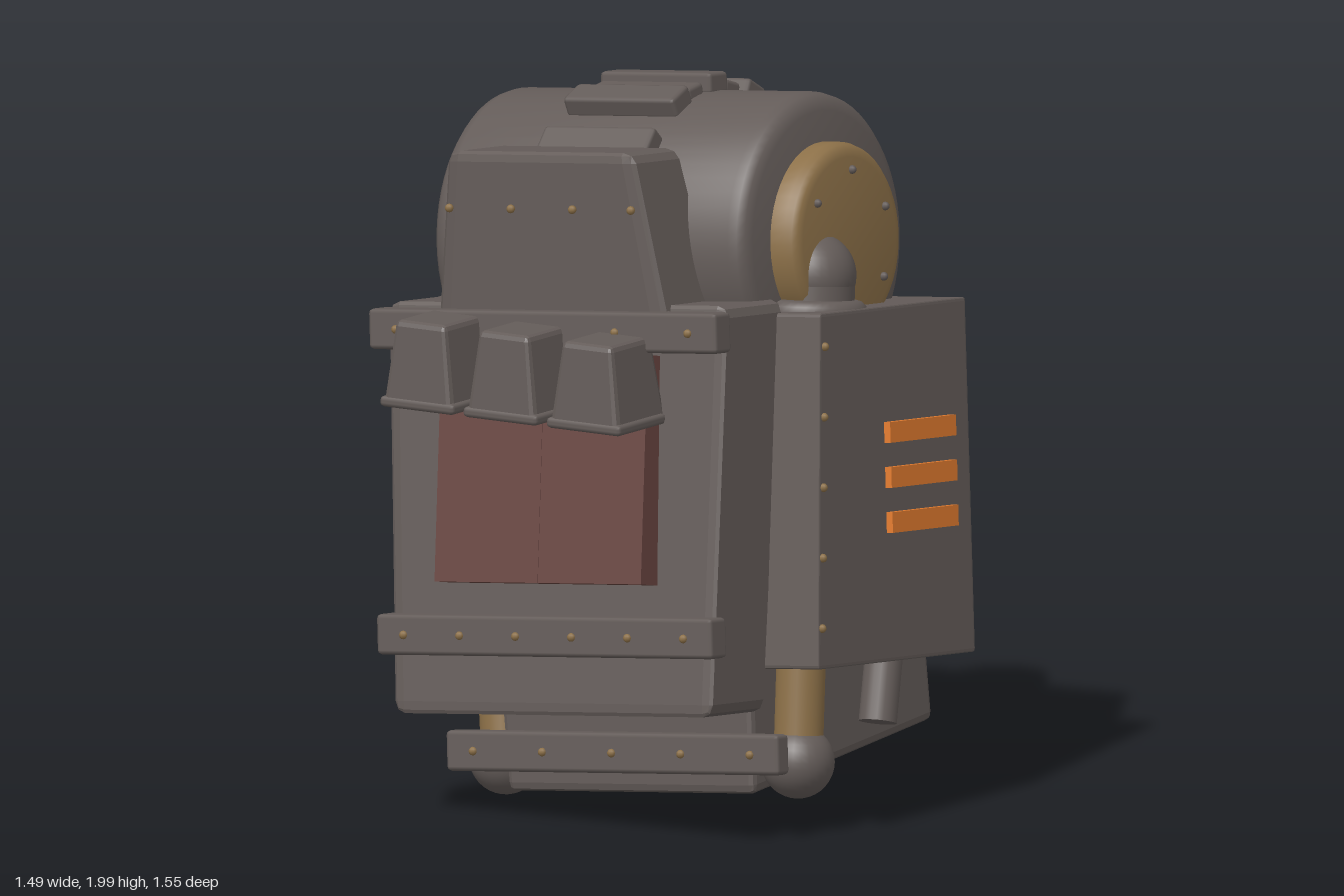
import * as THREE from 'three';
import { toCreasedNormals } from 'three/addons/utils/BufferGeometryUtils.js';
import { RoundedBoxGeometry } from 'three/addons/geometries/RoundedBoxGeometry.js';

const mat = (name, color) => new THREE.MeshStandardMaterial({ name, color });

export function createModel() {
  const iron = mat('iron grey', 0x645c59);
  const brass = mat('dull brass', 0x8c7048);
  const rust = mat('rust red', 0x684540);
  const glow = mat('vent orange', 0xe07a2e);

  // The whole machine leans back and to one side
  const model = new THREE.Group();
  model.name = 'model';
  const machine = new THREE.Group();
  machine.name = 'leaningMachine';
  machine.position.y = 1;
  machine.rotation.set(-0.095, 0, 0.095);
  model.add(machine);

  const add = (name, geometry, material, x = 0, y = 0, z = 0, parent = machine) => {
    const mesh = new THREE.Mesh(geometry, material);
    mesh.name = name;
    mesh.position.set(x, y, z);
    parent.add(mesh);
    return mesh;
  };

  // Bevelled box
  const box = (w, h, d, r = 0.012) => new RoundedBoxGeometry(w, h, d, 1, r);

  // Bevelled block between two levels; each end is [halfWidth, front z, back z]
  const block = (y0, y1, low, high, r = 0.015, backLift = 0) => {
    const g = new RoundedBoxGeometry(1, 1, 1, 1, r);
    const p = g.attributes.position;
    for (let i = 0; i < p.count; i++) {
      const t = p.getY(i) + 0.5;
      const s = p.getZ(i) + 0.5;
      const [w, f, b] = low.map((v, k) => THREE.MathUtils.lerp(v, high[k], t));
      const y = THREE.MathUtils.lerp(y0, y1, t) + backLift * (1 - s) * (1 - t);
      p.setXYZ(i, p.getX(i) * 2 * w, y, b + (f - b) * s);
    }
    g.computeVertexNormals();
    return g;
  };

  // Turned part from [radius, height] points
  const turned = (points, sides = 48) => toCreasedNormals(
    new THREE.LatheGeometry(points.map(([r, y]) => new THREE.Vector2(r, y)), sides), 0.6);

  const rivetShape = new THREE.SphereGeometry(0.012, 8, 6);
  const rivet = (x, y, z) => add('rivet', rivetShape, brass, x, y, z);

  // Hull with a sloping underside, and the front housing
  add('hull', block(-0.95, 0.33, [0.4, 0.25, -0.63], [0.44, 0.32, -0.46], 0.02, 0.15), iron);
  add('frontHousing', block(-0.715, 0.395, [0.515, 0.62, 0.36], [0.55, 0.545, 0.27], 0.03), iron);

  // Cowl over the housing
  add('cowl', block(0.33, 0.81, [0.375, 0.575, 0.3], [0.3, 0.615, 0.38], 0.06), iron);
  for (const x of [-0.3, -0.1, 0.1, 0.29]) rivet(x, 0.655, 0.61);

  // Riveted bands across the front: name, width, y, z, depth, rivets
  const bands = [
    ['upperBand', 1.13, 0.325, 0.585, 0.08, 5],
    ['lowerBand', 1.09, -0.5, 0.615, 0.08, 6],
    ['bumper', 1.08, -0.835, 0.31, 0.06, 5],
  ];
  for (const [name, w, y, z, d, count] of bands) {
    add(name, box(w, 0.11, d), iron, 0, y, z);
    for (let i = 0; i < count; i++) {
      rivet((2 * i / (count - 1) - 1) * (w / 2 - 0.09), y, z + d / 2);
    }
  }
  for (const x of [-0.38, 0.38]) {
    add('bumperBracket', box(0.12, 0.08, 0.14), iron, x, -0.83, 0.24);
  }

  // Pair of hatch doors following the slope of the housing
  for (const s of [-1, 1]) {
    const door = add('hatchDoor', new THREE.BoxGeometry(0.335, 0.62, 0.12), rust, s * 0.168, -0.05, 0.585);
    door.rotation.x = -0.1;
  }

  // Row of three hooded boxes hanging level
  for (const x of [-0.317, -0.046, 0.225]) {
    add('hood', block(1.17, 1.4, [0.112, 0.77, 0.53], [0.08, 0.755, 0.56], 0.07), iron, x, 0, 0, model);
    add('hoodRim', box(0.242, 0.03, 0.23), iron, x, 1.175, 0.66, model);
  }

  // Boiler drum lying across the top
  const drum = new THREE.Group();
  drum.name = 'boilerDrum';
  drum.position.set(0, 0.54, 0);
  machine.add(drum);
  const barrel = turned([[0, -0.51], [0.35, -0.51], [0.375, -0.502], [0.393, -0.485], [0.4, -0.46],
    [0.4, 0.46], [0.393, 0.485], [0.375, 0.502], [0.35, 0.51], [0, 0.51]], 64);
  barrel.rotateZ(-Math.PI / 2);
  add('barrel', barrel, iron, 0, 0, 0, drum);

  // Brass end caps with a ring of rivets
  for (const s of [-1, 1]) {
    const cap = turned([[0.265, -0.02], [0.265, 0.045], [0.258, 0.064], [0.245, 0.076], [0.225, 0.08], [0, 0.08]]);
    cap.rotateZ(-s * Math.PI / 2);
    add('endCap', cap, brass, s * 0.51, 0, 0, drum);
    for (let i = 0; i < 6; i++) {
      const a = 0.61 + i * Math.PI / 3;
      add('capRivet', rivetShape, iron, s * 0.594, Math.sin(a) * 0.19, Math.cos(a) * 0.19, drum);
    }
  }

  // Slats wrapped over the drum, tall and low in turn
  const slat = (degrees, w, h, d) => {
    const a = THREE.MathUtils.degToRad(degrees);
    const r = 0.39 + h / 2;
    const m = add('drumSlat', box(w, h, d), iron, 0, Math.cos(a) * r, Math.sin(a) * r, drum);
    m.rotation.x = a;
  };
  for (let i = 0; i < 6; i++) slat(50 - i * 25, 0.36, 0.06, 0.09);
  for (const a of [12.5, -12.5, -37.5]) slat(a, 0.33, 0.04, 0.075);

  // Side cabinet with glowing vents
  add('sideCabinet', block(-0.6, 0.36, [0.12, 0.353, -0.41], [0.12, 0.3, -0.405], 0.01), iron, 0.57);
  for (let i = 0; i < 3; i++) {
    add('vent', new THREE.BoxGeometry(0.03, 0.056, 0.32), glow, 0.695, 0.02 - i * 0.122, -0.155);
  }
  for (let i = 0; i < 5; i++) rivet(0.692, 0.27 - i * 0.19, 0.285 + i * 0.012);

  // Piston leg: ball foot, brass rod, sleeve with two collars and a dome
  const leg = (name, bottom, top, { ball, rod, sleeve, dome, collar, low, high }) => {
    const a = new THREE.Vector3(...bottom);
    const axis = new THREE.Vector3(...top).sub(a);
    const length = axis.length();
    const g = new THREE.Group();
    g.name = name;
    g.position.copy(a);
    g.quaternion.setFromUnitVectors(new THREE.Vector3(0, 1, 0), axis.normalize());
    machine.add(g);
    add('ballFoot', new THREE.SphereGeometry(ball, 28, 18), iron, 0, 0, 0, g);
    add('rod', new THREE.CylinderGeometry(rod, rod, low, 28), brass, 0, low / 2, 0, g);
    add('sleeve', new THREE.CylinderGeometry(sleeve, sleeve, length - low, 32), iron, 0, (length + low) / 2, 0, g);
    add('dome', new THREE.SphereGeometry(dome, 32, 20), iron, 0, length, 0, g);
    for (const y of [low, high]) {
      const ring = new THREE.TorusGeometry(collar, 0.034, 12, 40);
      ring.rotateX(Math.PI / 2);
      add('collar', ring, iron, 0, y, 0, g);
    }
  };
  for (const s of [-1, 1]) {
    leg('frontLeg', [s * 0.475, -0.865, 0.144], [s * 0.535, 0.45, 0.1],
      { ball: 0.1, rod: 0.067, sleeve: 0.115, dome: 0.118, collar: 0.118, low: 0.53, high: 1.22 });
  }
  leg('rearLeg', [0.01, -0.705, -0.69], [0.005, 0.61, -0.515],
    { ball: 0.105, rod: 0.077, sleeve: 0.137, dome: 0.143, collar: 0.137, low: 0.52, high: 1.235 });

  // Clamp holding the rear leg to the hull
  add('rearClamp', box(0.48, 0.25, 0.2, 0.02), iron, -0.015, 0.32, -0.52);
  for (const s of [-1, 1]) add('clampLug', box(0.12, 0.1, 0.13), iron, s * 0.29 - 0.015, 0.25, -0.52);

  // Bent pipes with brass joints, each given as [segment, fraction]
  const pipe = (points, joints) => {
    const path = new THREE.CurvePath();
    const v = points.map((p) => new THREE.Vector3(...p));
    for (let i = 1; i < v.length; i++) path.add(new THREE.LineCurve3(v[i - 1], v[i]));
    add('pipe', new THREE.TubeGeometry(path, 40, 0.052, 18), iron);
    const place = (name, geometry, material, segment, t) => {
      const a = v[segment];
      const b = v[segment + 1];
      const at = a.clone().lerp(b, t);
      const part = add(name, geometry, material, at.x, at.y, at.z);
      part.quaternion.setFromUnitVectors(new THREE.Vector3(0, 0, 1), b.clone().sub(a).normalize());
    };
    place('pipeEnd', new THREE.CircleGeometry(0.052, 18), iron, v.length - 2, 1);
    for (const [segment, t] of joints) {
      place('pipeJoint', new THREE.TorusGeometry(0.05, 0.02, 10, 28), brass, segment, t);
    }
  };
  pipe([[-0.45, 0.34, -0.24], [-0.58, 0.19, -0.2], [-0.7, 0.0, -0.1], [-0.655, -0.28, -0.07], [-0.58, -0.73, -0.08]],
    [[1, 0.1], [3, 0.02]]);
  pipe([[-0.42, 0.34, -0.28], [-0.5, 0.08, -0.26], [-0.5, -0.18, -0.21], [-0.45, -0.84, -0.21]], [[2, 0.02]]);
  pipe([[0.5, -0.18, -0.31], [0.5, -0.5, -0.27], [0.5, -0.78, -0.21]], [[1, 0.05]]);

  return model;
}
